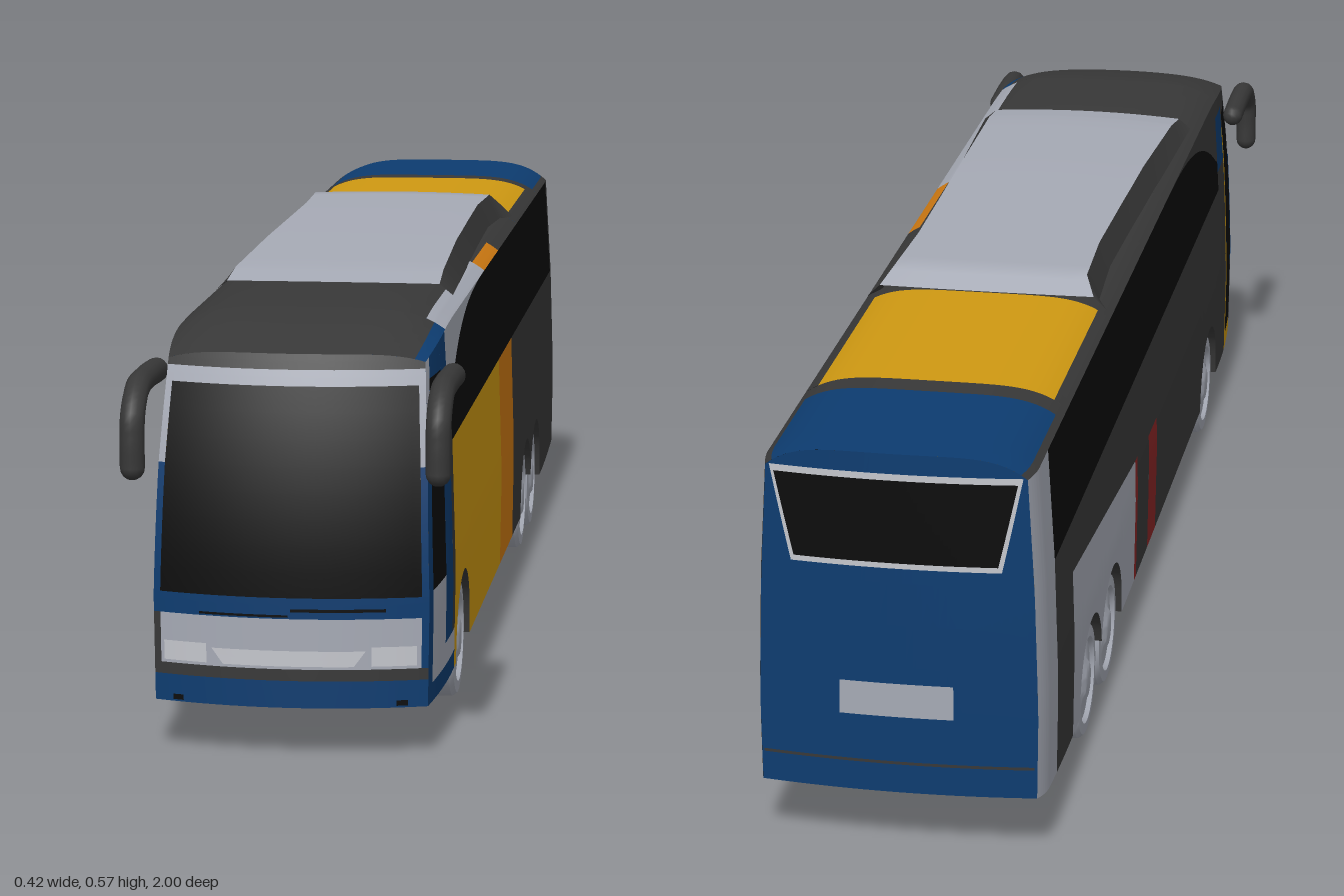
import * as THREE from 'three';
import { toCreasedNormals } from 'three/addons/utils/BufferGeometryUtils.js';
import { ParametricGeometry } from 'three/addons/geometries/ParametricGeometry.js';

const paint = (name, color) => new THREE.MeshStandardMaterial({ name, color, side: THREE.DoubleSide });
const dark = paint('charcoal', 0x383838), black = paint('glass black', 0x0b0b0b);
const blue = paint('blue', 0x0d3c70), yellow = paint('yellow', 0xcf9912);
const orange = paint('orange', 0xcf7a12), silver = paint('silver', 0xa6aab5);
const trim = paint('light trim', 0xc4c6cc), red = paint('red', 0x8c2626);

const { clamp, lerp } = THREE.MathUtils;
const WHEELS = [0.59, -0.42, -0.6], FRONT = 0.96, REAR = -1;

// Body rules: half width by height, roof edge, roof crown, sill with wheel arches
const KNOTS = [[0.06, 0.186], [0.2, 0.188], [0.37, 0.183], [0.52, 0.174]];
function halfWidth(y) {
  for (let i = 1; i < KNOTS.length; i++) {
    const [a, wa] = KNOTS[i - 1], [b, wb] = KNOTS[i];
    if (y <= b) return lerp(wa, wb, clamp((y - a) / (b - a), 0, 1));
  }
  return 0.174;
}
const noseDrop = z => clamp((z - 0.6) / 0.36, 0, 1) ** 2;
const roofEdge = z => 0.52 - 0.022 * noseDrop(z);
const roofY = (u, z) => roofEdge(z) + 0.028 * (1 - 0.6 * noseDrop(z)) * (1 - Math.abs(u) ** 5);
const windowTop = z => 0.52 - 0.1 * clamp((z - 0.1) / 0.6, 0, 1) ** 3.5;
function sill(z) {
  let y = 0.065 + 0.02 * clamp((-0.7 - z) / 0.3, 0, 1) ** 2;
  for (const c of WHEELS) {
    const d = 0.092 ** 2 - (z - c) ** 2;
    if (d > 0) y = Math.max(y, 0.08 + Math.sqrt(d));
  }
  return y;
}

// Maps body coordinates (u across, z along, y up) to a point, with leaning bowed nose
function place(t, u, z, y) {
  const k = clamp((z - 0.72) / 0.24, 0, 1), r = clamp((-0.94 - z) / 0.06, 0, 1);
  const lean = 0.06 * (Math.max(0, y - 0.2) / 0.3) ** 2;
  return t.set(u * halfWidth(y) * (1 - 0.06 * k * k - 0.04 * r * r), y,
    z - k * (lean + 0.03 * u * u) + r * 0.012 * u * u);
}

export function createModel() {
  const model = new THREE.Group();
  model.name = 'coach';
  const add = (name, geo, mat, parent = model) => {
    const m = new THREE.Mesh(geo, mat);
    m.name = name;
    parent.add(m);
    return m;
  };
  const patch = (name, mat, fn, nu, nv) =>
    add(name, toCreasedNormals(new ParametricGeometry(fn, nu, nv), 0.6), mat);
  const val = (f, z) => (typeof f === 'function' ? f(z) : f);

  // Side walls: columns of colour bands stacked upward from the sill
  function column(side, z0, z1, bands) {
    let low = sill;
    for (const [top, mat] of bands) {
      const lo = low;
      patch(mat === black ? 'sideWindow' : 'sidePanel', mat, (a, b, t) => {
        const z = lerp(z0, z1, a);
        place(t, side, z, lerp(val(lo, z), val(top, z), b));
      }, Math.max(2, Math.round((z1 - z0) / 0.005)), 6);
      low = top;
    }
  }
  const belt = 0.37;
  column(1, REAR, -0.93, [[roofEdge, dark]]);
  column(1, -0.93, -0.18, [[belt, dark], [windowTop, black]]);
  column(1, -0.18, 0.03, [[belt, orange], [windowTop, black]]);
  column(1, 0.03, 0.17, [[belt, yellow], [windowTop, black], [roofEdge, dark]]);
  column(1, 0.17, 0.71, [[belt, yellow], [windowTop, black], [roofEdge, silver]]);
  column(1, 0.71, 0.74, [[0.09, blue], [0.12, silver], [0.42, dark], [roofEdge, silver]]);
  column(1, 0.74, 0.82, [[0.09, blue], [0.12, silver], [roofEdge, blue]]);
  column(1, 0.82, 0.93, [[0.09, blue], [0.21, silver], [0.475, black], [roofEdge, blue]]);
  column(1, 0.93, FRONT, [[belt, blue], [roofEdge, silver]]);

  const engineTop = z => lerp(0.3, 0.25, (z + 0.75) / 0.54);
  column(-1, REAR, -0.88, [[roofEdge, silver]]);
  column(-1, -0.88, -0.75, [[belt, dark], [windowTop, black]]);
  column(-1, -0.75, -0.21, [[engineTop, silver], [belt, dark], [windowTop, black]]);
  column(-1, -0.21, -0.19, [[0.25, red], [belt, dark], [windowTop, black]]);
  column(-1, -0.19, -0.08, [[belt, dark], [windowTop, black]]);
  column(-1, -0.08, 0, [[0.24, red], [belt, dark], [windowTop, black]]);
  column(-1, 0, 0.71, [[belt, dark], [windowTop, black], [roofEdge, dark]]);
  column(-1, 0.71, 0.81, [[0.4, dark], [0.49, blue], [roofEdge, dark]]);
  column(-1, 0.81, 0.825, [[0.45, yellow], [roofEdge, dark]]);
  column(-1, 0.825, 0.94, [[0.09, yellow], [0.475, black], [roofEdge, dark]]);
  column(-1, 0.94, FRONT, [[0.18, dark], [belt, blue], [roofEdge, silver]]);

  // Roof: strips of colour across, from the right edge to the left edge
  function roof(z0, z1, strips) {
    let u0 = -1;
    for (const [u1, mat] of strips) {
      const a0 = u0;
      patch('roofPanel', mat, (a, b, t) => {
        const u = lerp(a0, u1, a), z = lerp(z0, z1, b);
        place(t, u, z, roofY(u, z));
      }, Math.max(6, Math.round(20 * (u1 - a0))), 12);
      u0 = u1;
    }
  }
  roof(REAR, -0.77, [[-0.95, dark], [0.95, blue], [1, dark]]);
  roof(-0.77, -0.73, [[1, dark]]);
  roof(-0.73, -0.37, [[-0.9, dark], [0.9, yellow], [1, dark]]);
  roof(-0.37, -0.05, [[1, dark]]);
  roof(-0.05, 0.17, [[0.9, dark], [1, orange]]);
  roof(0.17, 0.72, [[0.86, dark], [1, silver]]);
  roof(0.72, FRONT, [[0.92, dark], [1, blue]]);

  // Floor with wheel tunnels
  patch('floor', dark, (a, b, t) => {
    const z = lerp(REAR, FRONT, b);
    place(t, lerp(-1, 1, a), z, sill(z));
  }, 8, 392);

  // End faces: patches bounded by u and y, with an optional narrower bottom
  function endFace(name, z, u0, u1, y0, y1, mat, out = 0, squeeze = 1) {
    patch(name, mat, (a, b, t) => {
      const u = lerp(u0, u1, a);
      place(t, u * lerp(squeeze, 1, b), z, lerp(y0, val(y1, u), b));
      t.z += out * Math.sign(z);
    }, Math.max(4, Math.round(16 * (u1 - u0))), 8);
  }
  const front = (name, ...rest) => endFace(name, FRONT, ...rest);
  front('frontBumper', -1, 1, 0.065, 0.1, blue);
  front('bumperStripe', -1, 1, 0.1, 0.115, dark);
  front('grille', -0.95, 0.95, 0.115, 0.18, silver);
  front('rightGrilleEdge', -1, -0.95, 0.115, 0.18, dark);
  front('leftGrilleEdge', 0.95, 1, 0.115, 0.18, blue);
  front('cowl', -1, 1, 0.18, 0.207, blue);
  front('windscreen', -0.95, 0.95, 0.207, 0.47, black);
  for (const s of [-1, 1]) {
    const [a, b] = s < 0 ? [-1, -0.95] : [0.95, 1];
    front('lowerPillar', a, b, 0.207, belt, blue);
    front('upperPillar', a, b, belt, 0.47, silver);
    const [c, d] = s < 0 ? [-0.92, -0.6] : [0.6, 0.92];
    front('headlight', c, d, 0.12, 0.145, trim, 0.005);
    const [e, f] = s < 0 ? [-0.86, -0.78] : [0.78, 0.86];
    front('fogLamp', e, f, 0.068, 0.075, black, 0.003);
  }
  front('windscreenHeader', -1, 1, 0.47, 0.49, silver);
  front('roofBrow', -1, 1, 0.49, u => roofY(u, FRONT), dark);
  front('grilleBar', -0.56, 0.56, 0.12, 0.14, trim, 0.006, 0.85);
  front('rightWiper', -0.65, 0, 0.183, 0.186, black, 0.005);
  front('leftWiper', 0.02, 0.7, 0.19, 0.194, black, 0.005);

  const rear = (name, ...rest) => endFace(name, REAR, ...rest);
  rear('rearPanel', -1, 1, 0.085, u => roofY(u, REAR), blue);
  rear('rearSeam', -0.98, 0.98, 0.125, 0.129, dark, 0.002);
  rear('rearWindowFrame', -0.97, 0.97, 0.395, 0.522, trim, 0.002, 0.8);
  rear('rearWindow', -0.93, 0.93, 0.403, 0.514, black, 0.004, 0.81);
  rear('numberPlate', -0.41, 0.41, 0.192, 0.238, silver, 0.004);

  // Roof pod: stations of z, half width and height
  const POD = [[-0.375, 0.15, 0.549], [-0.34, 0.135, 0.569], [-0.2, 0.13, 0.57],
    [0.2, 0.136, 0.566], [0.45, 0.143, 0.557], [0.52, 0.145, 0.547]];
  const pod = v => {
    const i = Math.min(4, Math.floor(v * 5)), f = v * 5 - i;
    return POD[i].map((n, j) => lerp(n, POD[i + 1][j], f));
  };
  patch('roofPodTop', silver, (a, b, t) => {
    const [z, w, y] = pod(b), u = 2 * a - 1;
    t.set(u * w, y + 0.002 * (1 - u * u), z + (b > 0.5 ? -0.012 : 0.008) * u * u);
  }, 12, 20);
  for (const s of [-1, 1]) {
    patch('roofPodSide', dark, (a, b, t) => {
      const [z, w, y] = pod(b);
      t.set(s * (w + 0.018 * a), lerp(y, 0.532, a), z + (b > 0.5 ? -0.012 : 0.008));
    }, 2, 20);
  }

  // Wheels: tyre and dished hub turned in one profile
  const wheelGeo = toCreasedNormals(new THREE.LatheGeometry(
    [[0, -0.022], [0.074, -0.022], [0.08, -0.016], [0.08, 0.016], [0.075, 0.022], [0.06, 0.023],
      [0.056, 0.017], [0.03, 0.02], [0.024, 0.024], [0, 0.024]].map(p => new THREE.Vector2(...p)), 32), 0.6);
  // Mirror arm sweeping forward, then hanging down
  const arm = new THREE.CatmullRomCurve3([[0.47, 0.8], [0.473, 0.88], [0.468, 0.945], [0.44, 0.979],
    [0.41, 0.984], [0.375, 0.984]].map(([y, z]) => new THREE.Vector3(0, y, z)));
  const armGeo = new THREE.TubeGeometry(arm, 28, 0.016, 12);
  for (const s of [-1, 1]) {
    for (const z of WHEELS) {
      const w = add(z > 0 ? 'frontWheel' : 'rearWheel', wheelGeo, silver);
      w.position.set(s * 0.158, 0.08, z);
      w.rotation.z = -s * Math.PI / 2;
    }
    const mirror = new THREE.Group();
    mirror.name = s > 0 ? 'leftMirror' : 'rightMirror';
    mirror.position.x = s * 0.193;
    add('mirrorArm', armGeo, dark, mirror);
    for (const i of [0, 1]) {
      add('mirrorEnd', new THREE.SphereGeometry(0.016, 12, 8), dark, mirror).position.copy(arm.getPoint(i));
    }
    model.add(mirror);
  }

  // Entrance step under the door
  add('step', new THREE.BoxGeometry(0.07, 0.03, 0.05), dark).position.set(0.085, 0.055, 0.8);
  return model;
}
